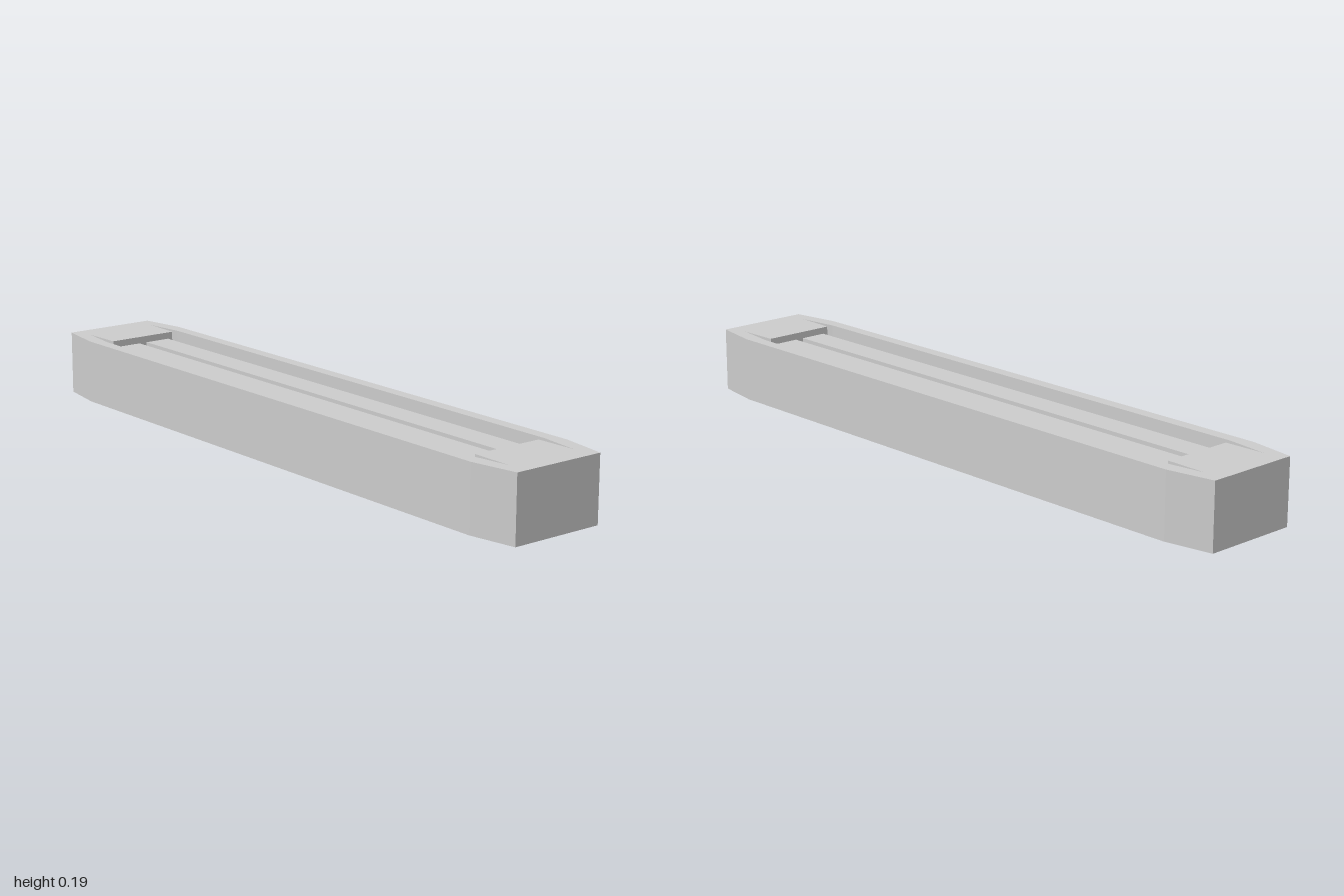
import * as THREE from 'three';

const HEIGHT = 0.19, FLOOR = 0.145, PANEL_TOP = 0.17;

// Mirror a quarter outline (x, z both positive, ordered from the x axis side) to all four corners.
function mirrored(quarter) {
  const flip = (sx, sz) => quarter.map(([x, z]) => new THREE.Vector2(x * sx, z * sz));
  return [...flip(1, 1), ...flip(-1, 1).reverse(), ...flip(-1, -1), ...flip(1, -1).reverse()];
}

// Extrude a plan outline upwards from y0 to y1.
function slab(name, shape, y0, y1, material) {
  const geometry = new THREE.ExtrudeGeometry(shape, { depth: y1 - y0, bevelEnabled: false });
  geometry.rotateX(-Math.PI / 2);
  geometry.translate(0, y0, 0);
  const mesh = new THREE.Mesh(geometry, material);
  mesh.name = name;
  return mesh;
}

export function createModel() {
  const group = new THREE.Group();
  group.name = 'barge';
  const material = new THREE.MeshStandardMaterial({ color: 0xcccccc, flatShading: true });

  const outline = mirrored([[1, 0.143], [0.86, 0.167]]);
  // Hold opening, with slim tapering side gutters running past the end decks.
  const opening = mirrored([[0.815, 0.11], [0.94, 0.114], [0.815, 0.131]]);

  // Solid lower hull
  group.add(slab('hull', new THREE.Shape(outline), 0, FLOOR, material));

  // Deck rim around the hold
  const rim = new THREE.Shape(outline);
  rim.holes.push(new THREE.Path(opening));
  group.add(slab('deckRim', rim, FLOOR, HEIGHT, material));

  // Two long hold panels, separated by a centre channel
  for (const side of [1, -1]) {
    const panel = new THREE.Mesh(new THREE.BoxGeometry(1.63, PANEL_TOP - FLOOR, 0.081), material);
    panel.position.set(0, (PANEL_TOP + FLOOR) / 2, side * 0.0535);
    panel.name = side > 0 ? 'frontHoldPanel' : 'backHoldPanel';
    group.add(panel);
  }
  return group;
}
